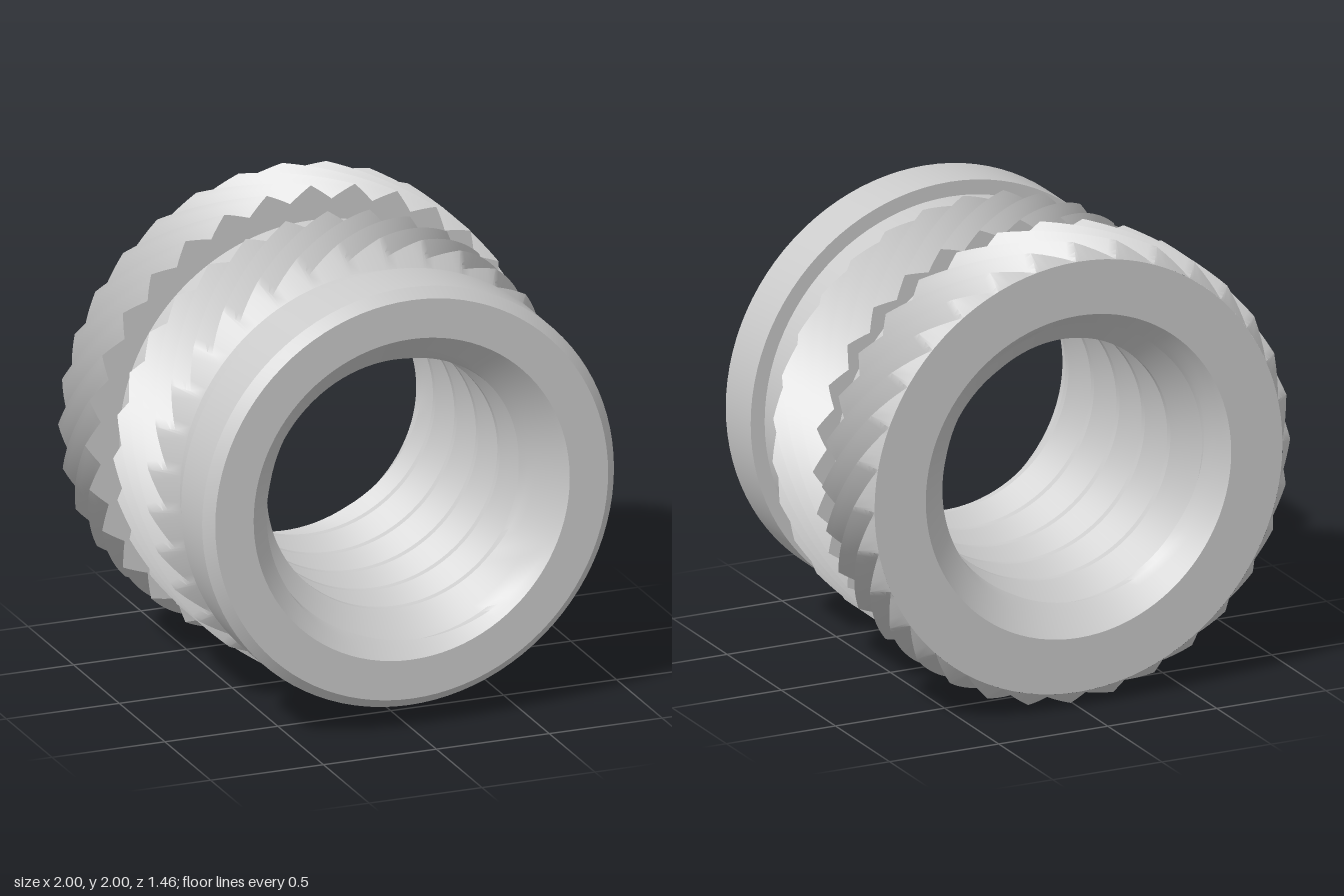
import * as THREE from 'three';
import { toCreasedNormals } from 'three/addons/utils/BufferGeometryUtils.js';

const HALF = 0.73;        // half length along z
const CORE = 0.848;       // radius of the plain core
const BACK_EDGE = 0.935;  // radius of the flat back face
const TEETH = 32;

// Skin over rows and columns; point(row, angle) returns [radius, angle, z]
function skin(rows, cols, point) {
  const pos = [], index = [];
  rows.forEach((row, i) => {
    for (let j = 0; j <= cols; j++) {
      const [r, a, z] = point(row, (j / cols) * Math.PI * 2);
      pos.push(r * Math.cos(a), r * Math.sin(a), z);
      if (i && j) {
        const d = i * (cols + 1) + j, c = d - 1, b = d - cols - 1, e = b - 1;
        index.push(e, b, c, b, d, c);
      }
    }
  });
  const geo = new THREE.BufferGeometry();
  geo.setAttribute('position', new THREE.Float32BufferAttribute(pos, 3));
  geo.setIndex(index);
  return toCreasedNormals(geo, 0.5);
}

// Band of slanted V teeth: flat wall at zFlat, cone down to radius edge at zEnd
function knurl({ zFlat, zEnd, tip, root, edge, slope, twist }) {
  const dir = Math.sign(zEnd - zFlat);
  const steps = 16;
  const rows = ['wall'];
  for (let i = 0; i <= steps; i++) rows.push(i / steps);
  rows.push('edge');
  if (dir < 0) rows.reverse();
  return skin(rows, TEETH * 8, (row, a) => {
    const t = (a * TEETH) / (Math.PI * 2);
    const r = tip + (root - tip) * Math.abs(t - Math.round(t)) * 2;
    const zCone = zEnd - (dir * (r - edge)) / slope;   // where this line of the tooth meets the cone
    const turn = (z) => a + twist * (z - zFlat);
    if (row === 'wall') return [CORE, a, zFlat];
    if (row === 'edge') return [edge, turn(zCone), zEnd];
    const z = zFlat + (zCone - zFlat) * row;
    return [r, turn(z), z];
  });
}

// Threaded hole with a countersink at each end
function bore() {
  const pitch = 0.235, minor = 0.54, depth = 0.11, offset = 0.097;
  const samples = [0, 0.125, 0.23, 0.34, 0.45, 0.5625, 0.67, 0.78, 0.89];
  const rows = [];
  for (let k = -6; k <= 5; k++) for (const t of samples) rows.push({ z: (k + t) * pitch, t });
  rows.reverse();
  return skin(rows, 96, ({ z: base, t }, a) => {
    const z = THREE.MathUtils.clamp(base + offset + (pitch * a) / (Math.PI * 2), -HALF, HALF);
    const thread = minor + depth * Math.max(0, 1 - Math.abs(t - 0.5625) / 0.4375);
    return [Math.max(thread, 0.7 - (HALF - Math.abs(z))), a, z];
  });
}

export function createModel() {
  const model = new THREE.Group();
  model.name = 'threadedInsert';
  const material = new THREE.MeshStandardMaterial({ color: 0xcccccc });
  const add = (name, geo) => {
    const mesh = new THREE.Mesh(geo, material);
    mesh.name = name;
    mesh.position.y = 1;
    model.add(mesh);
  };

  // Plain core with the flat back face and the chamfered front collar
  const profile = [
    [0.7, -HALF], [BACK_EDGE, -HALF], [CORE, -0.6], [CORE, 0.46], [0.912, 0.46],
    [0.912, 0.69], [0.87, HALF], [0.7, HALF],
  ].map(([r, z]) => new THREE.Vector2(r, z));
  const core = new THREE.LatheGeometry(profile, 96);
  core.rotateX(Math.PI / 2);
  add('coreAndCollar', toCreasedNormals(core, 0.5));

  // Knurled bands, slanted in opposite directions
  add('middleKnurl', knurl({
    zFlat: -0.19, zEnd: 0.29, tip: 0.95, root: 0.89, edge: CORE, slope: 1, twist: 1.35,
  }));
  add('backKnurl', knurl({
    zFlat: -0.375, zEnd: -HALF, tip: 1, root: BACK_EDGE, edge: BACK_EDGE, slope: 1.1, twist: -1.35,
  }));

  // Inner thread
  add('threadedBore', bore());
  return model;
}
